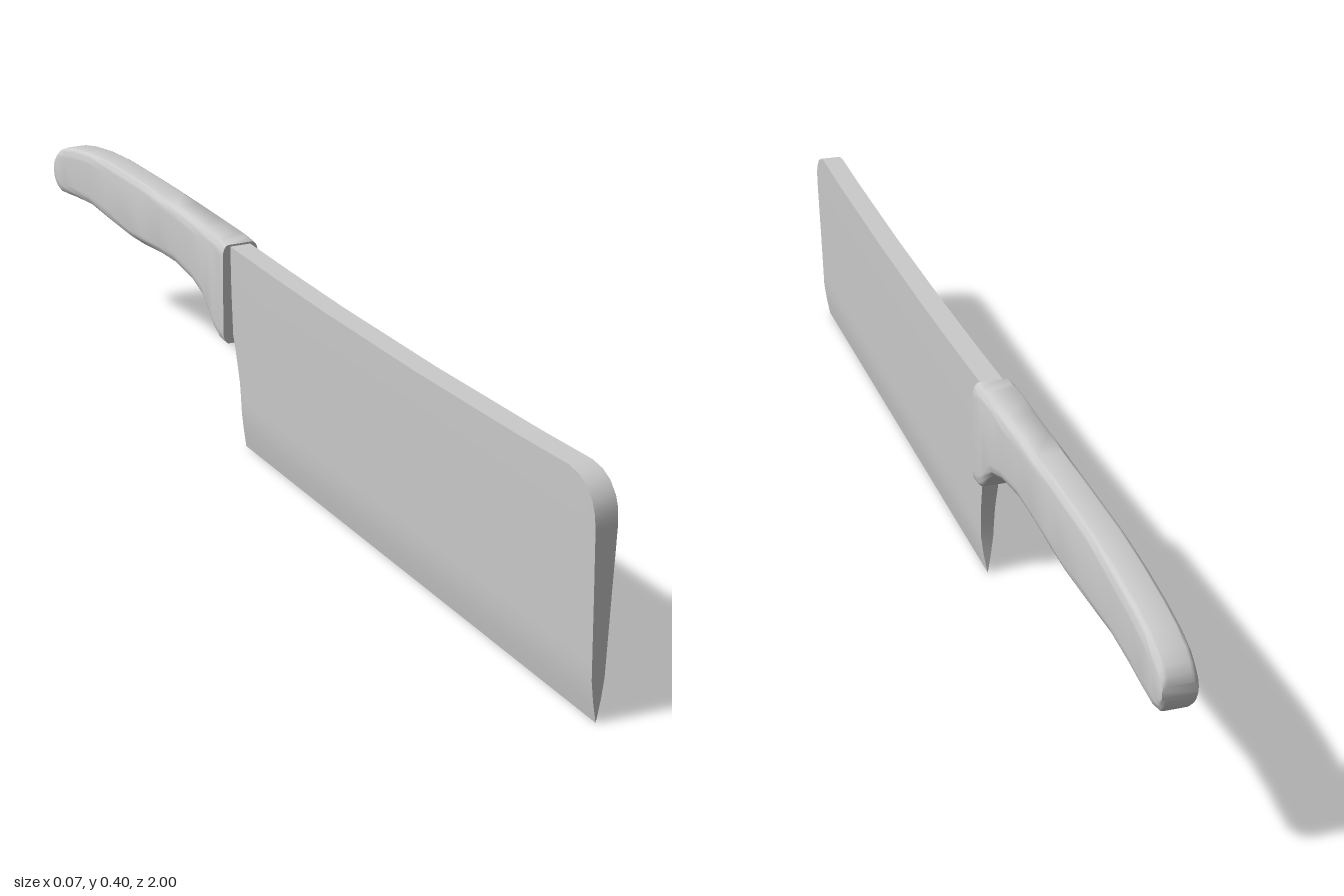
import * as THREE from 'three';
import { toCreasedNormals } from 'three/addons/utils/BufferGeometryUtils.js';

// Piecewise linear lookup in [position, value] pairs, position ascending
function lookup(table, p) {
  for (let i = 1; i < table.length; i++) {
    const [p0, v0] = table[i - 1], [p1, v1] = table[i];
    if (p <= p1) return v0 + (v1 - v0) * Math.max(0, (p - p0) / (p1 - p0));
  }
  return table[table.length - 1][1];
}

// Skin mirror-symmetric rings running from +z to -z; each ring lists the +x half upward, then the -x half downward
function loft(rings, crease) {
  const n = rings[0].length, index = [];
  const last = (rings.length - 1) * n;
  for (let i = 0; i < rings.length - 1; i++) {
    for (let j = 0; j < n; j++) {
      const a = i * n + j, b = i * n + (j + 1) % n;
      index.push(a, a + n, b, b, a + n, b + n);
    }
  }
  // End caps as strips between the mirrored halves
  for (let j = 0; j < n / 2 - 1; j++) {
    const m = n - 1 - j;
    index.push(j, j + 1, m, j + 1, m - 1, m);
    index.push(last + j, last + m, last + j + 1, last + j + 1, last + m, last + m - 1);
  }
  const geometry = new THREE.BufferGeometry();
  geometry.setAttribute('position', new THREE.Float32BufferAttribute(rings.flat(2), 3));
  geometry.setIndex(index);
  return toCreasedNormals(geometry, crease);
}

const mirrored = (half) => [...half, ...half.map(([x, y, z]) => [-x, y, z]).reverse()];

function bladeGeometry() {
  const spine = [[-0.17, 0.385], [0, 0.379], [0.2, 0.374], [0.5, 0.372], [0.8, 0.376], [0.93, 0.38],
    [0.955, 0.376], [0.975, 0.366], [0.99, 0.349], [0.997, 0.332], [1, 0.31]];
  const heel = [[0, -0.135], [0.04, -0.131], [0.08, -0.13], [0.13, -0.134], [0.2, -0.15], [0.26, -0.17]];
  const thickness = [[0, 0], [0.035, 0.0065], [0.07, 0.011], [0.2, 0.015], [0.33, 0.0195], [0.38, 0.02]];
  const rows = [0, 0.035, 0.07, 0.1, 0.13, 0.165, 0.2, 0.26, 0.3];
  const rings = spine.slice().reverse().map(([z, top], i) =>
    mirrored([...rows, top].map((y) =>
      [lookup(thickness, y), y, i === spine.length - 1 ? lookup(heel, y) : z])));
  return loft(rings, 0.45);
}

function handleGeometry() {
  // Stations: z, underside, top, half width
  const stations = [
    [-0.155, 0.2, 0.388, 0.035], [-0.18, 0.203, 0.391, 0.0352], [-0.2, 0.214, 0.392, 0.0352],
    [-0.22, 0.236, 0.393, 0.035], [-0.25, 0.261, 0.394, 0.0345], [-0.3, 0.278, 0.396, 0.0335],
    [-0.38, 0.288, 0.399, 0.032], [-0.45, 0.286, 0.401, 0.031], [-0.53, 0.279, 0.403, 0.03],
    [-0.6, 0.277, 0.403, 0.03], [-0.7, 0.282, 0.403, 0.03], [-0.8, 0.288, 0.397, 0.03],
    [-0.88, 0.282, 0.387, 0.03], [-0.93, 0.276, 0.377, 0.03], [-0.965, 0.273, 0.364, 0.03],
    [-0.985, 0.277, 0.352, 0.029], [-0.995, 0.287, 0.341, 0.028], [-1, 0.303, 0.328, 0.027]];
  const steps = 5;
  const rings = stations.map(([z, low, high, w]) => {
    const rx = 0.011, ry = Math.min(0.022, (high - low) * 0.3), half = [];
    for (const top of [false, true]) {
      for (let k = 0; k <= steps; k++) {
        const a = (top ? k : k - steps) / steps * Math.PI / 2;
        half.push([w - rx + rx * Math.cos(a), (top ? high - ry : low + ry) + ry * Math.sin(a), z]);
      }
    }
    return mirrored(half);
  });
  return loft(rings, 0.9);
}

export function createModel() {
  const model = new THREE.Group();
  model.name = 'cleaver';
  const material = new THREE.MeshStandardMaterial({ color: 0xcccccc });
  const parts = { blade: bladeGeometry(), handle: handleGeometry() };
  for (const [name, geometry] of Object.entries(parts)) {
    const mesh = new THREE.Mesh(geometry, material);
    mesh.name = name;
    model.add(mesh);
  }
  return model;
}
